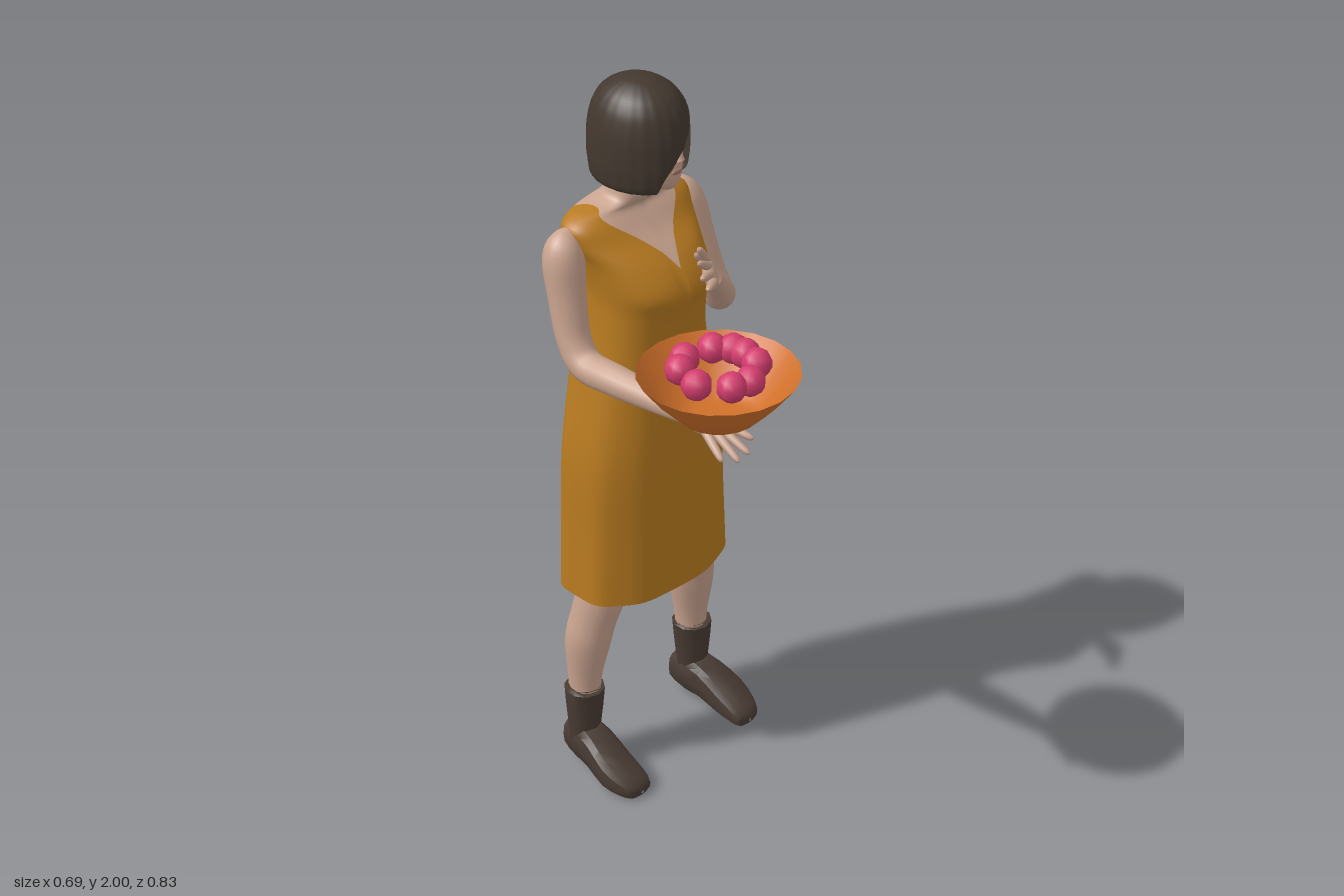
import * as THREE from 'three';
import { mergeVertices, toCreasedNormals } from 'three/addons/utils/BufferGeometryUtils.js';
import { ParametricGeometry } from 'three/addons/geometries/ParametricGeometry.js';

const mat = (name, color, side = THREE.FrontSide) => {
  const m = new THREE.MeshStandardMaterial({ color, side });
  m.name = name;
  return m;
};
const TAU = Math.PI * 2;
const CX = 0.05; // body centre line

// Smooth interpolation through rows of numbers, t = 0..1
function sample(rows, t) {
  const n = rows.length - 1;
  const f = THREE.MathUtils.clamp(t, 0, 1) * n;
  const i = Math.min(Math.floor(f), n - 1), w = f - i;
  const p0 = rows[Math.max(i - 1, 0)], p1 = rows[i], p2 = rows[i + 1], p3 = rows[Math.min(i + 2, n)];
  return p1.map((b, k) => {
    const a = p0[k], c = p2[k], d = p3[k];
    return b + 0.5 * w * (c - a + w * (2 * a - 5 * b + 4 * c - d + w * (3 * (b - c) + d - a)));
  });
}

// Smooth surface from a rule f(u, v) => [x, y, z]
function surface(f, nu, nv) {
  const g = new ParametricGeometry((u, v, p) => p.set(...f(u, v)), nu, nv);
  g.deleteAttribute('normal');
  g.deleteAttribute('uv');
  const m = mergeVertices(g, 1e-5);
  m.computeVertexNormals();
  return m;
}

// Rounded box-like ellipse point
function oval(a, power) {
  const s = Math.sin(a), c = Math.cos(a), e = 2 / power;
  return [Math.sign(s) * Math.abs(s) ** e, Math.sign(c) * Math.abs(c) ** e];
}

// Tapered limb through rows [x, y, z, radius]; flat squashes it across ref
function limb(rows, { nu = 14, nv = 30, ref = [1, 0, 0], flat = 1 } = {}) {
  const R = new THREE.Vector3(...ref);
  return surface((u, v) => {
    const [x, y, z, r] = sample(rows, v);
    const a = sample(rows, v - 0.01), b = sample(rows, v + 0.01);
    const T = new THREE.Vector3(b[0] - a[0], b[1] - a[1], b[2] - a[2]).normalize();
    const N = R.clone().cross(T).normalize(), B = T.clone().cross(N);
    const c = Math.cos(u * TAU) * r * flat, s = Math.sin(u * TAU) * r;
    return [x + N.x * c + B.x * s, y + N.y * c + B.y * s, z + N.z * c + B.z * s];
  }, nu, nv);
}

// Stacked horizontal rings: [y, half width, front z, back z]
function ringPoint(rows, t, a, power, cx) {
  const [y, rx, zf, zb] = sample(rows, t);
  const [s, c] = oval(a, power);
  return [cx + rx * s, y, (zf + zb) / 2 + ((zf - zb) / 2) * c];
}

const TORSO = [
  [0.59, 0.248, -0.085, -0.41], [0.8, 0.238, -0.087, -0.41], [1.0, 0.228, -0.09, -0.405],
  [1.2, 0.19, -0.1, -0.4], [1.32, 0.165, -0.1, -0.395], [1.42, 0.153, -0.085, -0.385],
  [1.48, 0.155, -0.072, -0.38], [1.55, 0.168, -0.12, -0.385], [1.6, 0.19, -0.18, -0.385],
  [1.64, 0.195, -0.215, -0.375], [1.665, 0.155, -0.235, -0.362], [1.68, 0.09, -0.225, -0.35],
  [1.705, 0.062, -0.213, -0.335], [1.79, 0.055, -0.21, -0.33],
];
const HEAD = [
  [1.727, 0.004, -0.165, -0.18], [1.735, 0.03, -0.137, -0.23], [1.765, 0.056, -0.126, -0.3],
  [1.81, 0.072, -0.127, -0.33], [1.86, 0.08, -0.13, -0.345], [1.92, 0.08, -0.14, -0.345],
  [1.96, 0.055, -0.17, -0.31], [1.975, 0.003, -0.235, -0.24],
];

export function createModel() {
  const skin = mat('skin', 0xc9a38f);
  const cloth = mat('ochre cloth', 0xb87a20, THREE.DoubleSide);
  const hairMat = mat('dark hair', 0x43382f, THREE.DoubleSide);
  const leather = mat('boot leather', 0x483b33);
  const clay = mat('orange clay', 0xd0702a, THREE.DoubleSide);
  const fruit = mat('pink fruit', 0xd43d6e);
  const lip = mat('lips', 0xa97568);

  const model = new THREE.Group();
  const add = (name, geo, material, parent = model) => {
    const m = new THREE.Mesh(geo, material);
    m.name = name;
    parent.add(m);
    return m;
  };

  // Dress runs up to a neckline; bare shoulders and neck continue above it
  const neckline = (a) => {
    const s = Math.abs(Math.sin(a));
    return (Math.cos(a) > 0 ? 6.7 + 4 * s ** 0.75 : 7.1 + 3.6 * s ** 0.85) / (TORSO.length - 1);
  };
  add('dress', surface((u, v) => {
    const a = (u - 0.5) * TAU, t = v * neckline(a);
    const p = ringPoint(TORSO, t, a, 2.4, CX);
    const fold = 1 + 0.012 * Math.sin(9 * a) * Math.max(0, 1 - t * 3);
    return [CX + (p[0] - CX) * fold, p[1], -0.247 + (p[2] + 0.247) * fold];
  }, 72, 50), cloth);
  add('neckAndShoulders', surface((u, v) => {
    const a = (u - 0.5) * TAU, t0 = neckline(a);
    return ringPoint(TORSO, t0 + (1 - t0) * v, a, 2.4 - 0.4 * v, CX);
  }, 72, 20), skin);

  // Head and face
  const headX = 0.06;
  add('head', surface((u, v) => ringPoint(HEAD, v, (u - 0.5) * TAU, 2.1, headX), 28, 24), skin);
  const nose = add('nose', new THREE.ConeGeometry(0.013, 0.05, 6), skin);
  nose.position.set(headX + 0.005, 1.837, -0.125);
  nose.rotation.x = -0.2;
  const dab = (name, x, y, z, w, h, material, tilt = 0) => {
    const m = add(name, new THREE.SphereGeometry(1, 12, 8), material);
    m.position.set(x, y, z);
    m.scale.set(w, h, 0.0048);
    m.rotation.set(0, (x - headX) * 14, tilt);
  };
  for (const s of [-1, 1]) {
    dab('eye', headX + s * 0.036, 1.862, -0.14, 0.016, 0.006, hairMat);
    dab('eyebrow', headX + s * 0.037, 1.888, -0.143, 0.019, 0.004, hairMat, s * 0.12);
  }
  dab('lips', headX + 0.002, 1.782, -0.126, 0.019, 0.007, lip);

  // Bob of hair with a swept fringe: rows are [y, size, face edge angles in degrees]
  const HAIR = [
    [2.0, 0.001, 45, 45], [1.994, 0.32, 45, 45], [1.972, 0.64, 45, 45], [1.945, 0.82, 44, 46],
    [1.915, 0.92, 34, 51], [1.87, 0.99, 14, 57], [1.82, 1.01, -8, 59], [1.78, 1, -22, 60],
    [1.738, 0.91, -31, 62], [1.738, 0.5, -31, 62],
  ];
  add('hair', surface((u, v) => {
    const [y, k, a0, a1] = sample(HAIR, 1 - v);
    const a = THREE.MathUtils.degToRad(a1 + u * (360 + a0 - a1));
    const lock = k * (1 + 0.006 * Math.sin(a * 22));
    return [0.055 + 0.118 * lock * Math.sin(a), y, -0.245 + 0.139 * lock * Math.cos(a)];
  }, 88, 40), hairMat);

  // Legs and boots, one pair
  for (const s of [-1, 1]) {
    const X = (d) => CX + s * d;
    const side = s > 0 ? 'left' : 'right';
    add(side + 'Leg', limb([
      [X(0.1), 0.98, -0.25, 0.085], [X(0.125), 0.76, -0.245, 0.083], [X(0.163), 0.6, -0.235, 0.07],
      [X(0.186), 0.5, -0.25, 0.064], [X(0.199), 0.42, -0.262, 0.063], [X(0.206), 0.3, -0.27, 0.047],
      [X(0.208), 0.2, -0.27, 0.042],
    ]), skin);
    const shaft = limb([
      [X(0.212), 0.08, -0.272, 0.045], [X(0.212), 0.14, -0.272, 0.046],
      [X(0.21), 0.262, -0.27, 0.056], [X(0.21), 0.266, -0.27, 0.04],
    ], { nu: 10, nv: 6 });
    add(side + 'BootShaft', toCreasedNormals(shaft, 0.7), leather);
    // foot sections: z, offset, half width, bottom, top
    const FOOT = [
      [-0.335, 0.208, 0.006, 0.06, 0.09], [-0.326, 0.208, 0.035, 0.035, 0.125],
      [-0.27, 0.211, 0.047, 0.02, 0.145], [-0.21, 0.217, 0.052, 0.02, 0.135],
      [-0.14, 0.224, 0.058, 0.006, 0.095], [-0.085, 0.22, 0.052, 0.003, 0.064],
      [-0.054, 0.215, 0.038, 0.004, 0.042], [-0.046, 0.215, 0.004, 0.014, 0.024],
    ];
    const foot = surface((u, v) => {
      const [z, d, w, lo, hi] = sample(FOOT, v);
      const [sy, cx] = oval(u * TAU, 2.8);
      return [X(d) + w * cx, (lo + hi) / 2 + ((hi - lo) / 2) * sy, z];
    }, 12, 14);
    add(side + 'Foot', toCreasedNormals(foot, 0.6), leather);
  }

  // Arms: the right one carries the bowl, the left one rests before the chest
  add('rightArm', limb([
    [-0.125, 1.64, -0.3, 0.004], [-0.145, 1.615, -0.3, 0.038], [-0.162, 1.57, -0.295, 0.053],
    [-0.172, 1.47, -0.275, 0.048], [-0.182, 1.37, -0.245, 0.044], [-0.187, 1.318, -0.195, 0.043],
    [-0.186, 1.315, -0.1, 0.041], [-0.177, 1.312, 0.02, 0.034], [-0.168, 1.308, 0.12, 0.026],
    [-0.166, 1.308, 0.15, 0.022],
  ], { nv: 48 }), skin);
  add('leftArm', limb([
    [0.225, 1.64, -0.3, 0.004], [0.245, 1.615, -0.3, 0.038], [0.262, 1.57, -0.295, 0.053],
    [0.28, 1.47, -0.27, 0.048], [0.297, 1.375, -0.245, 0.044], [0.3, 1.325, -0.215, 0.043],
    [0.27, 1.345, -0.18, 0.042], [0.22, 1.4, -0.14, 0.035], [0.165, 1.455, -0.1, 0.026],
    [0.145, 1.475, -0.083, 0.022],
  ], { nv: 48 }), skin);

  // Hand: flat palm plus fingers given as [root, tip]
  const hand = (name, palm, fingers, ref) => {
    const g = new THREE.Group();
    g.name = name;
    model.add(g);
    add('palm', limb(palm, { nu: 12, nv: 12, ref, flat: 0.45 }), skin, g);
    for (const [a, b] of fingers) {
      const at = (t, r) => [...a.map((p, i) => p + (b[i] - p) * t), r];
      add('finger', limb([at(0, 0.012), at(0.5, 0.011), at(0.9, 0.008), at(1, 0.001)], { nu: 8, nv: 8, ref }), skin, g);
    }
  };
  hand('rightHand', [
    [-0.168, 1.308, 0.11, 0.02], [-0.166, 1.308, 0.15, 0.036], [-0.163, 1.308, 0.2, 0.042],
    [-0.162, 1.305, 0.228, 0.03], [-0.162, 1.304, 0.235, 0.002],
  ], [
    [[-0.19, 1.306, 0.21], [-0.21, 1.262, 0.285]], [[-0.172, 1.306, 0.22], [-0.18, 1.258, 0.312]],
    [[-0.152, 1.306, 0.22], [-0.148, 1.268, 0.315]], [[-0.134, 1.306, 0.21], [-0.112, 1.285, 0.295]],
    [[-0.19, 1.308, 0.14], [-0.222, 1.335, 0.195]],
  ], [1, 0, 0]);
  hand('leftHand', [
    [0.155, 1.465, -0.09, 0.02], [0.13, 1.488, -0.072, 0.034], [0.095, 1.52, -0.048, 0.041],
    [0.078, 1.537, -0.035, 0.03], [0.074, 1.54, -0.032, 0.002],
  ], [
    [[0.095, 1.553, -0.058], [0.045, 1.612, -0.037]], [[0.086, 1.545, -0.045], [0.018, 1.592, -0.01]],
    [[0.08, 1.53, -0.033], [0.002, 1.565, 0.016]], [[0.082, 1.512, -0.022], [0.016, 1.532, 0.022]],
    [[0.13, 1.51, -0.085], [0.07, 1.575, -0.072]],
  ], [-0.03, -0.08, 0.06]);

  // Bowl and the ring of round fruit in it
  const bowl = add('bowl', new THREE.LatheGeometry([
    [0.001, 1.338], [0.06, 1.338], [0.1, 1.345], [0.15, 1.397], [0.197, 1.458],
  ].map(([r, y]) => new THREE.Vector2(r, y)), 20), clay);
  bowl.position.set(-0.153, 0, 0.217);
  const berry = new THREE.SphereGeometry(0.038, 9, 7);
  [[-0.174, 0.126], [-0.22, 0.155], [-0.243, 0.232], [-0.194, 0.298], [-0.143, 0.309],
    [-0.073, 0.265], [-0.06, 0.216], [-0.062, 0.179], [-0.095, 0.141]].forEach(([x, z], i) => {
    const b = add('fruit', berry, fruit);
    b.position.set(x, 1.467, z);
    b.rotation.y = i;
  });

  return model;
}
